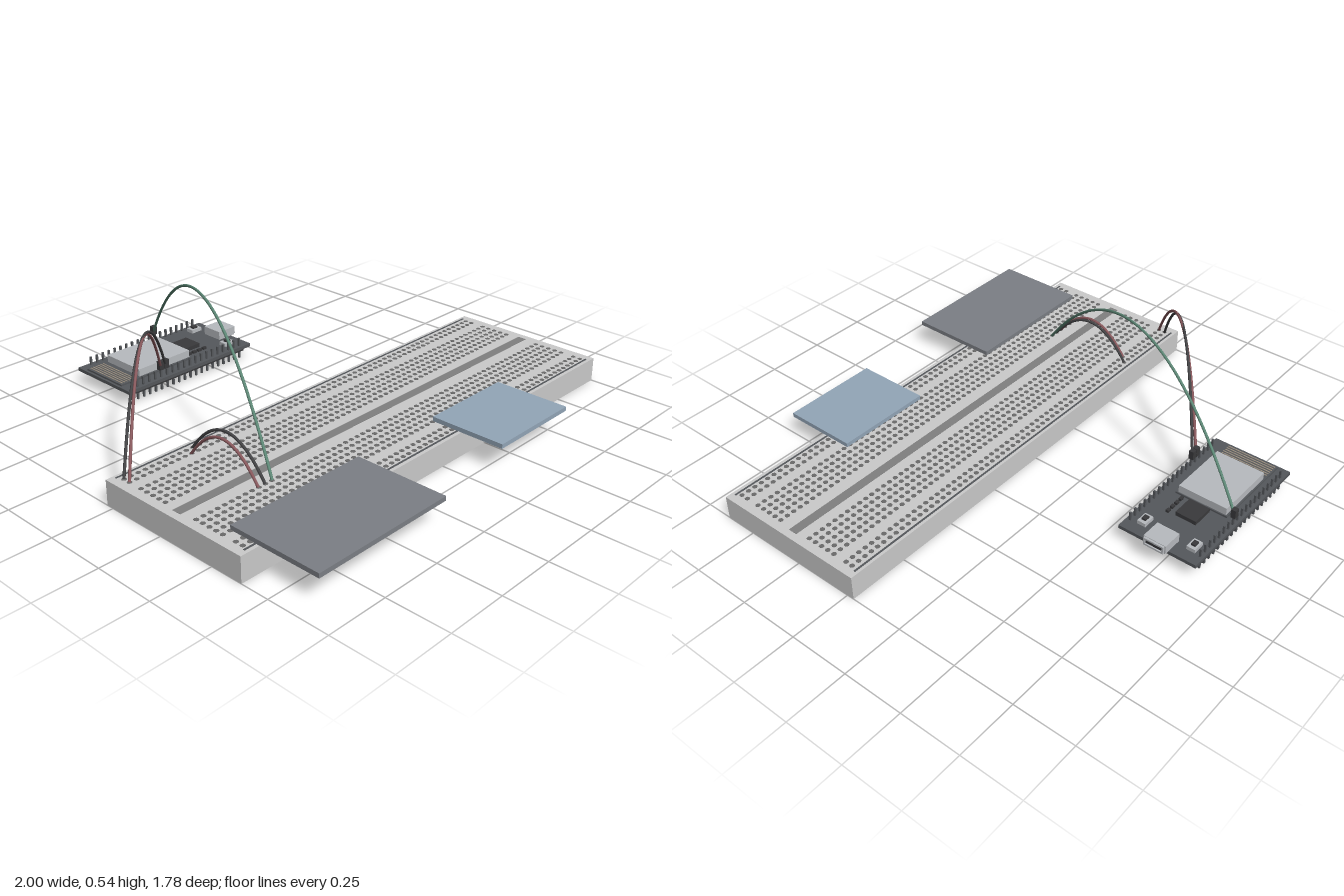
import * as THREE from 'three';
import { mergeGeometries } from 'three/addons/utils/BufferGeometryUtils.js';

const PITCH = 0.0308;
const mat = (color = 0xcccccc) => new THREE.MeshStandardMaterial({ color });
const dark = mat(0x55585c), black = mat(0x3a3a3c), grey = mat(), metal = mat(0xb8bbbf);

// Box given by its limits on each axis
function boxGeo(x0, x1, y0, y1, z0, z1) {
  return new THREE.BoxGeometry(x1 - x0, y1 - y0, z1 - z0)
    .translate((x0 + x1) / 2, (y0 + y1) / 2, (z0 + z1) / 2);
}

function add(parent, name, geo, material) {
  const mesh = new THREE.Mesh(Array.isArray(geo) ? mergeGeometries(geo) : geo, material);
  mesh.name = name;
  parent.add(mesh);
  return mesh;
}

function group(parent, name) {
  const g = new THREE.Group();
  g.name = name;
  parent.add(g);
  return g;
}

function buildBreadboard(root) {
  const g = group(root, 'breadboard');
  add(g, 'breadboardBody', boxGeo(-1, 1, 0, 0.1, -0.03, 0.635), grey);
  add(g, 'centreChannel', boxGeo(-0.97, 0.97, 0.09, 0.101, 0.282, 0.32), mat(0x808080));
  add(g, 'railStripes', [-0.014, 0.617].map(z =>
    boxGeo(-0.97, 0.97, 0.09, 0.101, z - 0.004, z + 0.004)), dark);

  // Contact holes: two rails and two blocks of five rows
  const rows = [0.012, 0.042, 0.566, 0.597];
  for (let r = 0; r < 5; r++) rows.push(0.103 + r * 0.0315, 0.381 + r * 0.0315);
  const holes = [];
  for (const z of rows) {
    for (let c = -31; c <= 31; c++) {
      holes.push(new THREE.CylinderGeometry(0.01, 0.01, 0.004, 8).translate(c * PITCH, 0.099, z));
    }
  }
  add(g, 'contactHoles', holes, mat(0x6a6a6a));
}

function buildController(root) {
  const g = group(root, 'controllerBoard');
  const top = 0.07;
  add(g, 'circuitBoard', boxGeo(-0.485, 0.175, 0.056, top, -0.89, -0.557), dark);

  // Pin headers along both long edges
  const pins = [], strips = [];
  for (const z of [-0.573, -0.876]) {
    strips.push(boxGeo(-0.445, 0.14, 0.046, 0.056, z - 0.01, z + 0.01));
    for (let i = 0; i < 19; i++) {
      const x = -0.43 + i * PITCH;
      pins.push(boxGeo(x - 0.004, x + 0.004, 0.015, 0.105, z - 0.004, z + 0.004));
    }
  }
  add(g, 'headerStrips', strips, black);
  add(g, 'headerPins', pins, dark);

  // Radio module with shield and aerial traces
  add(g, 'moduleBase', boxGeo(-0.475, -0.105, top, 0.077, -0.842, -0.618), dark);
  add(g, 'shieldCan', boxGeo(-0.375, -0.11, 0.077, 0.108, -0.835, -0.627), metal);
  const traces = [];
  for (let i = 0; i < 6; i++) {
    const x = -0.463 + i * 0.0125;
    traces.push(boxGeo(x - 0.0025, x + 0.0025, 0.076, 0.079, -0.835, -0.627));
  }
  add(g, 'aerialTraces', traces, mat(0x9a8f80));

  add(g, 'chip', boxGeo(-0.095, 0, top, 0.087, -0.775, -0.687), black);
  add(g, 'smallComponents', [0, 1, 2, 3].map(i =>
    boxGeo(-0.095 + i * 0.028, -0.077 + i * 0.028, top, 0.08, -0.661, -0.649)), black);

  // Push buttons either side of the socket
  for (const z of [-0.835, -0.622]) {
    add(g, 'buttonBase', boxGeo(0.073, 0.125, top, 0.085, z - 0.018, z + 0.018), metal);
    add(g, 'buttonCap', boxGeo(0.087, 0.111, 0.085, 0.093, z - 0.009, z + 0.009), black);
  }

  // Socket shell with a recessed dark opening
  add(g, 'socketShell', boxGeo(0.108, 0.195, top, 0.106, -0.775, -0.68), metal);
  add(g, 'socketLip', [
    boxGeo(0.195, 0.204, 0.072, 0.079, -0.77, -0.685),
    boxGeo(0.195, 0.204, 0.097, 0.104, -0.77, -0.685),
    boxGeo(0.195, 0.204, 0.079, 0.097, -0.77, -0.763),
    boxGeo(0.195, 0.204, 0.079, 0.097, -0.692, -0.685),
  ], metal);
  add(g, 'socketOpening', boxGeo(0.19, 0.198, 0.079, 0.097, -0.763, -0.692), black);
}

// Arched jumper wire; plug adds a housing over the header pin at its far end
function buildWire(root, name, [x0, z0], [x1, z1], peak, color, plug) {
  const g = group(root, name);
  const y0 = 0.1, y1 = plug ? 0.115 : 0.1;
  const curve = new THREE.QuadraticBezierCurve3(
    new THREE.Vector3(x0, y0, z0),
    new THREE.Vector3((x0 + x1) / 2, 2 * peak - (y0 + y1) / 2, (z0 + z1) / 2),
    new THREE.Vector3(x1, y1, z1));
  add(g, 'wire', new THREE.TubeGeometry(curve, 40, 0.0055, 8), mat(color));
  if (plug) add(g, 'plugHousing', boxGeo(x1 - 0.011, x1 + 0.011, 0.104, 0.141, z1 - 0.01, z1 + 0.01), black);
}

export function createModel() {
  const root = new THREE.Group();
  root.name = 'breadboardCircuit';
  buildBreadboard(root);
  buildController(root);

  // Flat modules overhanging the front edge
  add(root, 'largeModule', boxGeo(-0.92, -0.315, 0.1, 0.118, 0.503, 0.887), mat(0x7c7f85));
  add(root, 'smallModule', boxGeo(0.1, 0.51, 0.1, 0.118, 0.503, 0.815), mat(0x93a6b8));

  const red = 0x8a5a5e, blackWire = 0x444446, green = 0x5f8a78;
  buildWire(root, 'redSupplyWire', [-0.955, 0.042], [-0.307, -0.573], 0.42, red, true);
  buildWire(root, 'blackSupplyWire', [-0.955, 0.012], [-0.282, -0.573], 0.42, blackWire, true);
  buildWire(root, 'signalWire', [-0.615, 0.381], [-0.095, -0.876], 0.53, green, true);
  buildWire(root, 'redShortWire', [-0.68, 0.042], [-0.68, 0.381], 0.22, red, false);
  buildWire(root, 'blackShortWire', [-0.648, 0.012], [-0.648, 0.381], 0.23, blackWire, false);
  return root;
}
